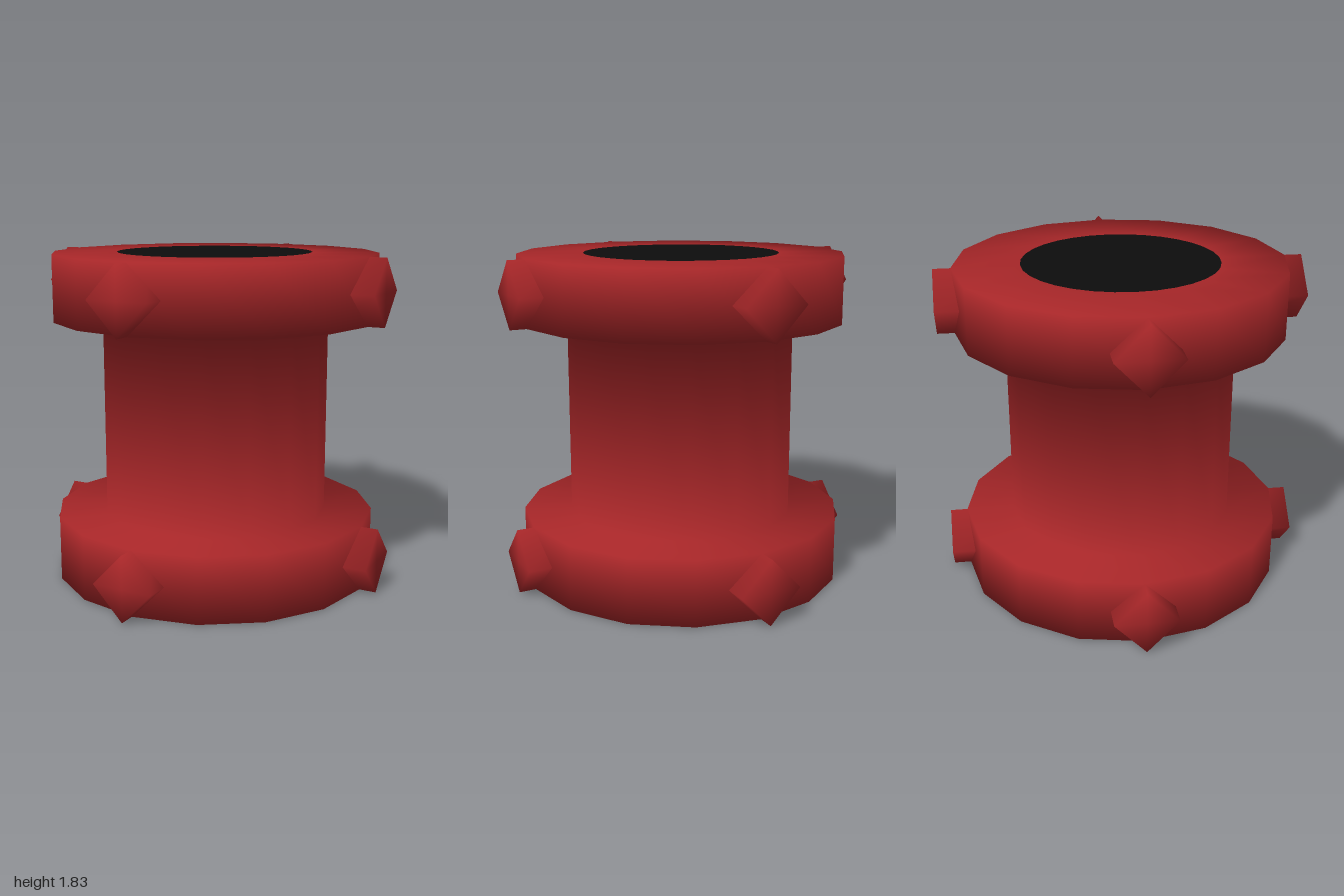
import * as THREE from 'three';

const red = new THREE.MeshStandardMaterial({ color: 0xa62628 });
red.name = 'red';
const black = new THREE.MeshStandardMaterial({ color: 0x0d0d0d });
black.name = 'black';

// Turned solid whose normals blend evenly across every profile corner
function softLathe(profile, segments) {
  const points = profile.map(([r, y]) => new THREE.Vector2(r, y));
  const geometry = new THREE.LatheGeometry(points, segments);
  const edges = points.slice(1).map((p, i) => {
    const d = p.clone().sub(points[i]).normalize();
    return new THREE.Vector2(d.y, -d.x);
  });
  const blended = points.map((p, i) => {
    const n = new THREE.Vector2();
    if (i > 0) n.add(edges[i - 1]);
    if (i < edges.length) n.add(edges[i]);
    return n.normalize();
  });
  const normal = geometry.attributes.normal;
  for (let i = 0; i <= segments; i++) {
    const phi = (i / segments) * Math.PI * 2;
    blended.forEach((n, j) => {
      normal.setXYZ(i * points.length + j, n.x * Math.sin(phi), n.y, n.x * Math.cos(phi));
    });
  }
  return geometry;
}

function add(parent, name, geometry, material) {
  const mesh = new THREE.Mesh(geometry, material);
  mesh.name = name;
  parent.add(mesh);
  return mesh;
}

export function createModel() {
  const model = new THREE.Group();
  model.name = 'flangedSpool';
  const height = 1.82, flange = 0.363, rim = 0.905, core = 0.635, hole = 0.54;

  // Column with a wide flange at each end
  add(model, 'spoolBody', softLathe([
    [0, 0], [hole, 0], [rim, 0], [rim, flange], [core, flange],
    [core, height - flange], [rim, height - flange], [rim, height],
    [hole, height], [0, height],
  ], 16), red);

  // Four diamond studs around each flange
  const stud = softLathe([[0.181, 0.7], [0.181, 1], [0, 1]], 4);
  stud.rotateX(Math.PI / 2);
  stud.scale(0.96, 1, 1);
  for (const [name, y] of [['lowerStud', flange / 2], ['upperStud', height - flange / 2]]) {
    for (let i = 0; i < 4; i++) {
      const mesh = add(model, name, stud, red);
      mesh.position.y = y;
      mesh.rotation.y = (i * Math.PI) / 2;
    }
  }

  // Dark openings at both ends
  const disc = new THREE.CircleGeometry(hole, 32);
  const top = add(model, 'topOpening', disc, black);
  top.rotation.x = -Math.PI / 2;
  top.position.y = height + 0.003;
  const bottom = add(model, 'bottomOpening', disc, black);
  bottom.rotation.x = Math.PI / 2;
  bottom.position.y = -0.003;

  return model;
}
